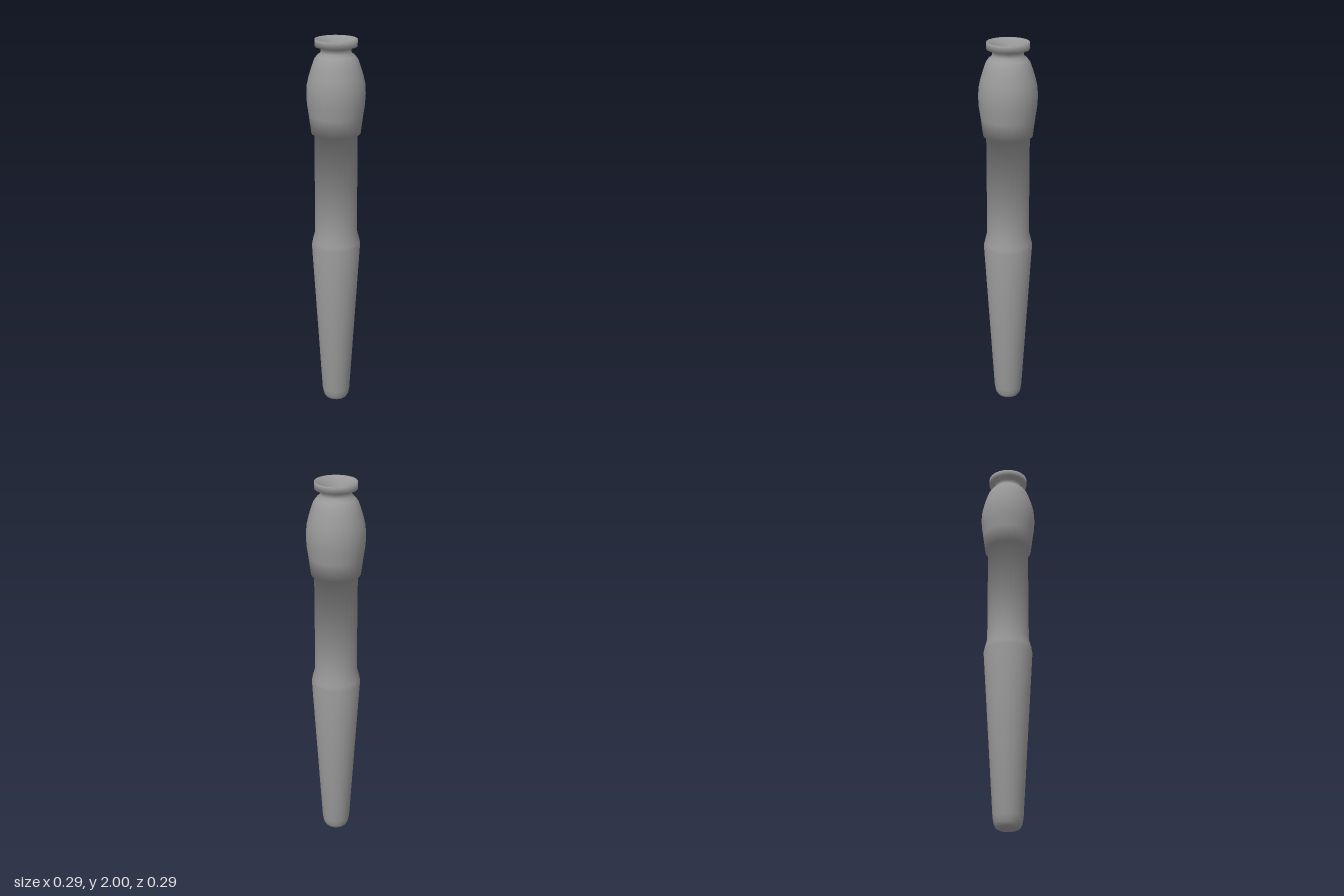
import * as THREE from 'three';

const SEGMENTS = 24;

// Profiles as [radius, height], each part starting where the one before ends
const PARTS = {
  // Tapered lower grip with a rounded foot and a shoulder
  taperedGrip: [
    [0, 0], [0.045, 0.004], [0.06, 0.013], [0.069, 0.03], [0.075, 0.065],
    [0.127, 0.93], [0.123, 0.95], [0.109, 1.005],
  ],
  // Straight shaft running up into the head
  shaft: [[0.109, 1.005], [0.109, 1.533]],
  // Bulbous head with a flat underside
  head: [
    [0.109, 1.533], [0.124, 1.533], [0.136, 1.625], [0.144, 1.68], [0.147, 1.73],
    [0.144, 1.78], [0.135, 1.82], [0.123, 1.86], [0.109, 1.9], [0.094, 1.92], [0.076, 1.935],
  ],
  // Narrow neck and flared rim
  neckAndRim: [[0.076, 1.935], [0.076, 1.958], [0.105, 1.966], [0.105, 2], [0.098, 2]],
  // Bowl sunk into the top
  bowl: [
    [0.098, 2], [0.078, 1.96], [0.071, 1.938], [0.062, 1.925], [0.048, 1.918],
    [0.025, 1.914], [0, 1.913],
  ],
};

// Outward unit normal of the profile step from a to b
const stepNormal = (a, b) => new THREE.Vector2(b[1] - a[1], a[0] - b[0]).normalize();

// Turns a profile around the y axis; the points before and after it
// let the shading run smoothly on into the neighbouring parts
function turned(name, profile, before, after) {
  const run = [before, ...profile, after];
  const normals = profile.map((p, i) => {
    const normal = new THREE.Vector2();
    if (run[i]) normal.add(stepNormal(run[i], p));
    if (run[i + 2]) normal.add(stepNormal(p, run[i + 2]));
    if (p[0] === 0) normal.x = 0;
    return normal.normalize();
  });

  const points = profile.map(([r, y]) => new THREE.Vector2(r, y));
  const geometry = new THREE.LatheGeometry(points, SEGMENTS);
  const attribute = geometry.attributes.normal;
  for (let i = 0; i < attribute.count; i++) {
    const angle = Math.floor(i / profile.length) / SEGMENTS * Math.PI * 2;
    const n = normals[i % profile.length];
    attribute.setXYZ(i, n.x * Math.sin(angle), n.y, n.x * Math.cos(angle));
  }

  const mesh = new THREE.Mesh(geometry, new THREE.MeshStandardMaterial({ color: 0x999999 }));
  mesh.name = name;
  return mesh;
}

export function createModel() {
  const model = new THREE.Group();
  model.name = 'turnedHandle';
  const profiles = Object.values(PARTS);
  Object.entries(PARTS).forEach(([name, profile], i) => {
    model.add(turned(name, profile, profiles[i - 1]?.at(-2), profiles[i + 1]?.[1]));
  });
  return model;
}
